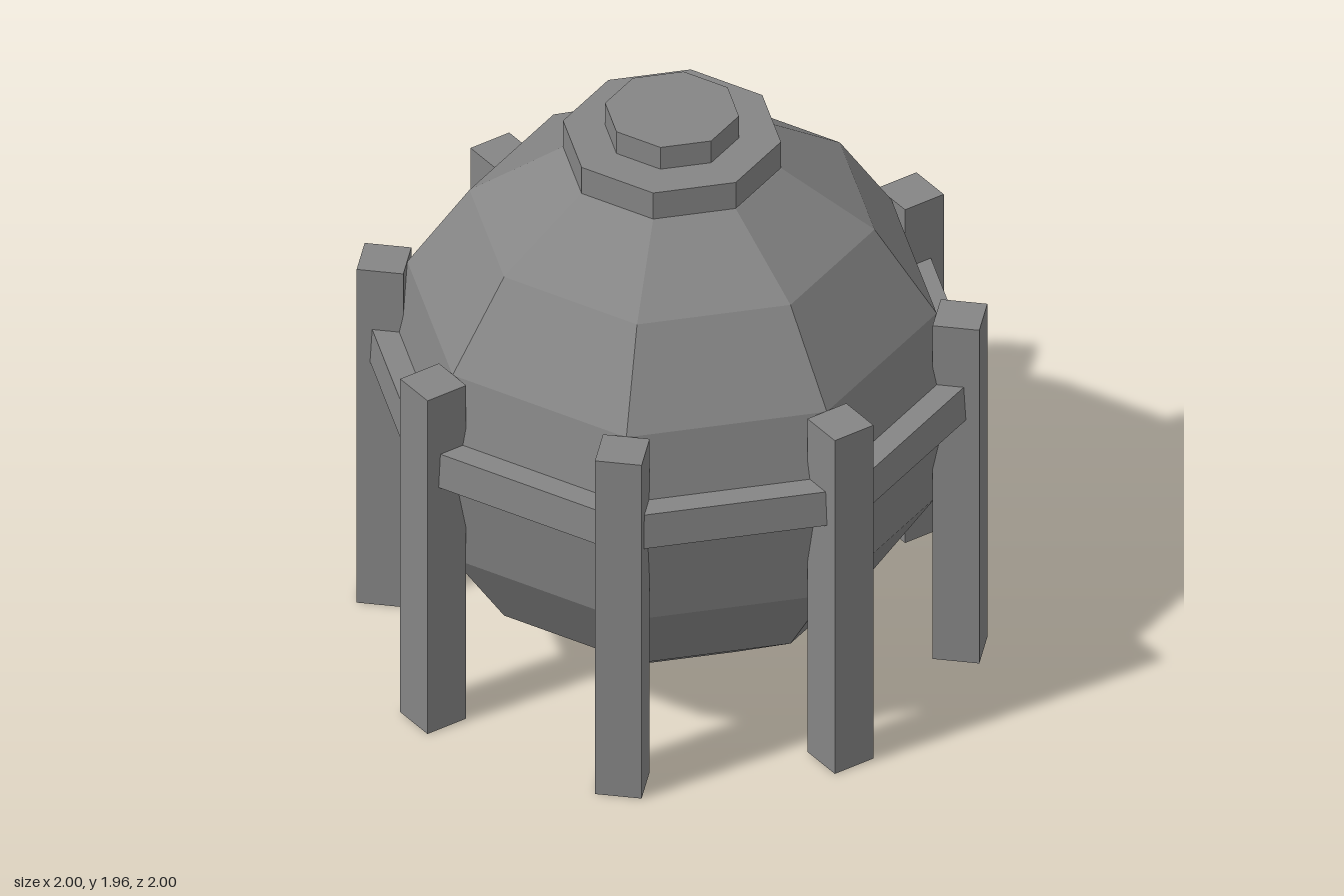
import * as THREE from 'three';

const SIDES = 8;

export function createModel() {
  const model = new THREE.Group();
  model.name = 'storageTank';

  const steel = new THREE.MeshStandardMaterial({ color: 0x858585, flatShading: true });
  steel.name = 'grey steel';

  function add(name, geometry, x = 0, y = 0, z = 0) {
    const mesh = new THREE.Mesh(geometry, steel);
    mesh.name = name;
    mesh.position.set(x, y, z);
    model.add(mesh);
    return mesh;
  }

  // Faceted spherical vessel
  add('vessel', new THREE.SphereGeometry(0.92, SIDES, 8), 0, 0.925, 0);

  // Stepped hatch on top
  add('hatchCollar', new THREE.CylinderGeometry(0.35, 0.35, 0.1, SIDES), 0, 1.827, 0);
  add('hatchCap', new THREE.CylinderGeometry(0.215, 0.215, 0.085, SIDES), 0, 1.918, 0);

  // Octagonal brace joining the legs; closed profile, slightly wider at its foot
  const profile = [[0.88, 0.93], [0.988, 0.93], [0.981, 1.055], [0.88, 1.055], [0.88, 0.93]]
    .map(([r, y]) => new THREE.Vector2(r, y));
  add('braceRing', new THREE.LatheGeometry(profile, SIDES));

  // Square legs, each facing outward
  const legGeometry = new THREE.BoxGeometry(0.15, 1.28, 0.15);
  for (let i = 0; i < SIDES; i++) {
    const angle = (i / SIDES) * Math.PI * 2;
    const leg = add('leg' + (i + 1), legGeometry,
      Math.sin(angle) * 0.925, 0.64, Math.cos(angle) * 0.925);
    leg.rotation.y = angle;
  }

  return model;
}
